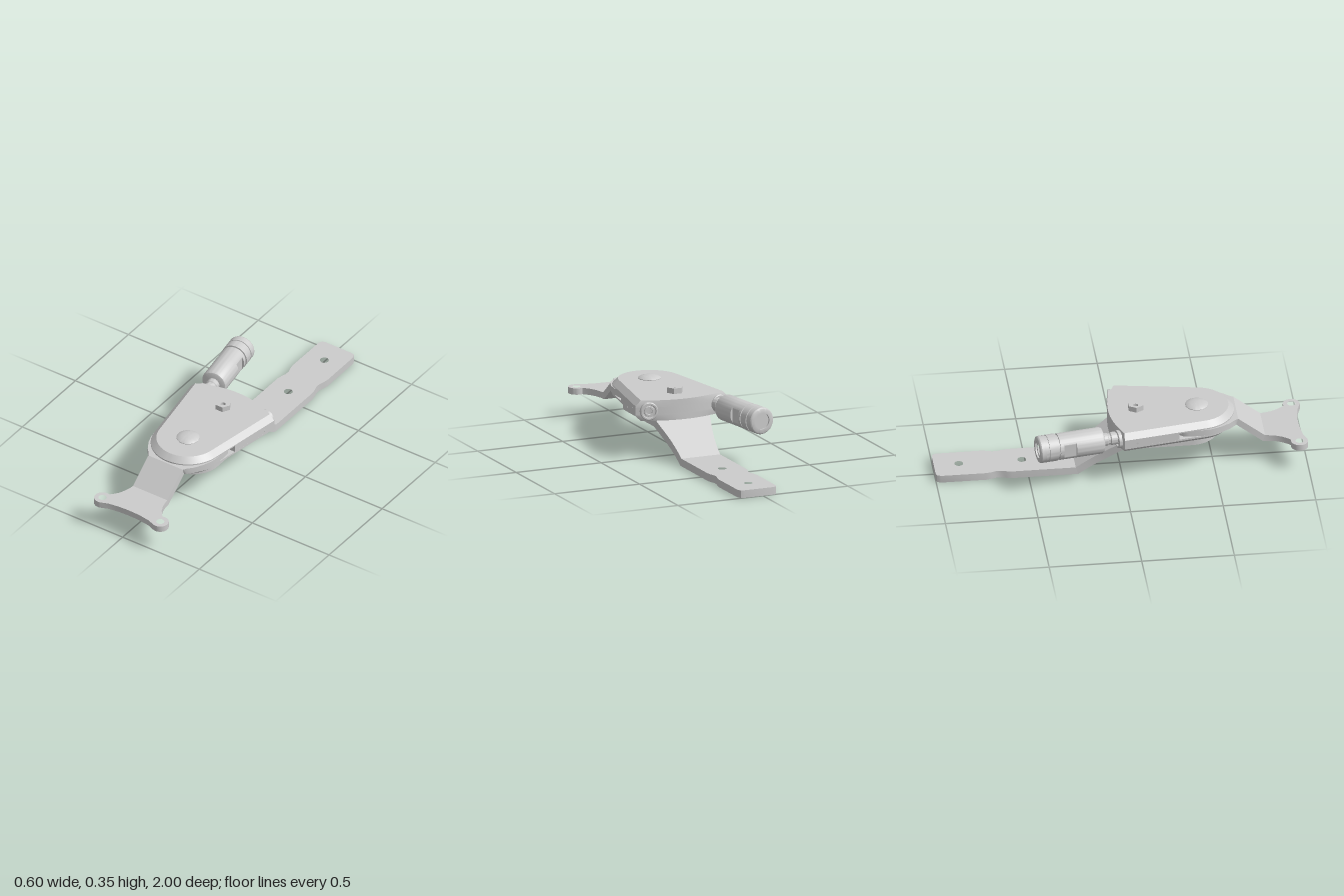
import * as THREE from 'three';
import { toCreasedNormals } from 'three/addons/utils/BufferGeometryUtils.js';

const material = new THREE.MeshStandardMaterial({ color: 0xcccccc });
const PIVOT_Z = 0.42;
const MID_Y = 0.263;

function mesh(name, geometry, parent) {
  const m = new THREE.Mesh(toCreasedNormals(geometry, 0.6), material);
  m.name = name;
  parent.add(m);
  return m;
}

// half outline [x, z] from back to front -> full symmetric ring
const mirrored = (half) => [...half, ...half.map(([x, z]) => [-x, z]).reverse()];

// points on an arc, as [x, z]
function arc(cx, cz, r, from, to, n) {
  return Array.from({ length: n + 1 }, (_, i) => {
    const a = from + ((to - from) * i) / n;
    return [cx + r * Math.cos(a), cz + r * Math.sin(a)];
  });
}

// flat plate from an [x, z] ring, holes as [x, z, radius, sides]
function plate(ring, holes, y0, y1) {
  const shape = new THREE.Shape(ring.map(([x, z]) => new THREE.Vector2(x, -z)));
  for (const [x, z, r, n = 24] of holes) {
    const pts = arc(x, z, r, 0, Math.PI * 2, n).slice(0, n);
    shape.holes.push(new THREE.Path(pts.map(([px, pz]) => new THREE.Vector2(px, -pz))));
  }
  const g = new THREE.ExtrudeGeometry(shape, { depth: y1 - y0, bevelEnabled: false });
  return g.rotateX(-Math.PI / 2).translate(0, y0, 0);
}

// strap with two opposite bends: height ya before za, yb after zb, mitred corners
function strap(name, pieces, thickness, za, ya, zb, yb, parent) {
  const group = new THREE.Group();
  group.name = name;
  parent.add(group);
  const miter = -Math.tan(Math.atan((yb - ya) / (zb - za)) / 2);
  for (const [part, half, holes] of pieces) {
    const g = plate(mirrored(half), holes, -thickness / 2, thickness / 2);
    const p = g.attributes.position;
    for (let i = 0; i < p.count; i++) {
      const h = p.getY(i), z = p.getZ(i);
      const t = THREE.MathUtils.clamp((z - za) / (zb - za), 0, 1);
      if (z > za - 1e-4 && z < zb + 1e-4) p.setZ(i, z + miter * h);
      p.setY(i, ya + (yb - ya) * t + h);
    }
    mesh(part, g, group);
  }
}

// convex solid through horizontal rings, levels as [y, ring]
function loft(levels) {
  const v = [];
  const put = (y, [x, z]) => v.push(x, y, z);
  const n = levels[0][1].length;
  for (let k = 0; k + 1 < levels.length; k++) {
    const [y0, a] = levels[k], [y1, b] = levels[k + 1];
    for (let i = 0; i < n; i++) {
      const j = (i + 1) % n;
      put(y0, a[i]); put(y1, b[i]); put(y1, b[j]);
      put(y0, a[i]); put(y1, b[j]); put(y0, a[j]);
    }
  }
  const [yb, bottom] = levels[0], [yt, top] = levels[levels.length - 1];
  for (let i = 1; i + 1 < n; i++) {
    put(yb, bottom[0]); put(yb, bottom[i]); put(yb, bottom[i + 1]);
    put(yt, top[0]); put(yt, top[i + 1]); put(yt, top[i]);
  }
  const g = new THREE.BufferGeometry();
  g.setAttribute('position', new THREE.Float32BufferAttribute(v, 3));
  return g;
}

const lathe = (pts, n = 40) =>
  new THREE.LatheGeometry(pts.map(([r, y]) => new THREE.Vector2(r, y)), n);

// curved back edge of the housing, then tapered sides
const backEdge = (w) => [0.12, 0.3, 0.5, 0.7, 0.85, 1].map((f) => [w * f, -0.06 + 0.06 * f * f]);
const housingRing = (inset) => mirrored([
  ...backEdge(0.272 - inset),
  ...arc(0, PIVOT_Z, 0.2 - inset, 0.165, Math.PI / 2 - 0.05, 14),
]);

export function createModel() {
  const root = new THREE.Group();
  const body = new THREE.Group();
  body.name = 'hingeAssembly';
  body.position.x = 0.025;
  root.add(body);

  // long lower strap
  strap('lowerStrap', [
    ['lowerStrapTail', [
      [0.085, -1], [0.103, -0.995], [0.113, -0.975], [0.114, -0.73], [0.108, -0.7], [0.1, -0.675],
      [0.1, -0.645], [0.108, -0.62], [0.114, -0.59], [0.114, -0.24],
    ], [[0, -0.865, 0.024], [0, -0.525, 0.024]]],
    ['lowerStrapSlope', [
      [0.114, -0.24], [0.117, -0.19], [0.124, -0.14], [0.135, -0.09], [0.148, -0.045], [0.16, 0],
    ], []],
    ['lowerStrapHead', [
      [0.16, 0], ...arc(0, 0.375, 0.16, 0, Math.PI / 2 - 0.05, 14),
    ], [[0, 0.175, 0.07]]],
  ], 0.042, -0.24, 0.021, 0, 0.186, body);

  // short upper strap with two mounting ears
  const earX = 0.188, earZ = 0.953;
  strap('upperStrap', [
    ['upperStrapHead', [
      [0.12, 0.25], [0.185, 0.31], [0.2, 0.33], [0.204, 0.36], [0.204, 0.43], [0.198, 0.48],
      [0.18, 0.53], [0.152, 0.58], [0.125, 0.61], [0.112, 0.625],
    ], []],
    ['upperStrapSlope', [[0.112, 0.625], [0.112, 0.77]], []],
    ['upperStrapFoot', [
      [0.112, 0.77], [0.115, 0.8], [0.124, 0.835], [0.14, 0.87], [0.162, 0.898],
      ...arc(earX, earZ, 0.046, -1.9, 1.9, 18),
      [0.13, 0.98], [0.07, 0.971], [0.02, 0.968],
    ], [[earX, earZ, 0.022], [-earX, earZ, 0.022]]],
  ], 0.035, 0.625, 0.265, 0.77, 0.15, body);

  // housing: two chamfered covers around a spacer that is open at the front
  const outer = housingRing(0), inner = housingRing(0.03);
  const spacer = mirrored([...backEdge(0.272), [0.222, 0.3]]);
  mesh('housingBottom', loft([[0.207, inner], [0.235, outer], [0.245, outer]]), body);
  mesh('housingSpacer', loft([[0.245, spacer], [0.283, spacer]]), body);
  mesh('housingTop', loft([[0.283, outer], [0.29, outer], [0.32, inner]]), body);

  // pivot rivet, domed above and flat below
  mesh('pivotRivet', lathe([
    [0, 0.153], [0.04, 0.153], [0.047, 0.158], [0.047, 0.19], [0.062, 0.318], [0.062, 0.323],
    [0.052, 0.33], [0.035, 0.335], [0.018, 0.338], [0, 0.339],
  ]), body).position.z = PIVOT_Z;

  // stop bolt with hex nut
  const bolt = new THREE.Group();
  bolt.name = 'stopBolt';
  bolt.position.z = 0.09;
  body.add(bolt);
  mesh('boltHead', lathe([
    [0, 0.153], [0.045, 0.153], [0.05, 0.158], [0.05, 0.175], [0.022, 0.18], [0.022, 0.3],
    [0.022, 0.34], [0.014, 0.34], [0.014, 0.325], [0, 0.325],
  ]), bolt);
  mesh('boltNut', plate(arc(0, 0, 0.045, 0, Math.PI * 2, 6).slice(0, 6), [[0, 0, 0.026]], 0.318, 0.35), bolt);

  // threaded sockets in both rear corners and a small pin hole plug in each side
  for (const side of [-1, 1]) {
    const socket = mesh(side > 0 ? 'leftSocket' : 'rightSocket', lathe([
      [0.049, -0.04], [0.049, 0.01], [0.045, 0.013], [0.038, 0.013], [0.035, 0.003],
      [0.028, 0.003], [0.026, 0.01], [0.018, 0.01], [0.016, 0.001], [0, 0.001],
    ]), body);
    socket.position.set(side * 0.205, MID_Y, -0.025);
    socket.rotation.set(-Math.PI / 2, -side * 0.2, 0, 'YXZ');
    const pin = mesh(side > 0 ? 'leftPin' : 'rightPin', new THREE.CylinderGeometry(0.006, 0.006, 0.01, 12), body);
    pin.position.set(side * 0.257, MID_Y, 0.07);
    pin.rotation.z = Math.PI / 2;
  }

  // adjuster screwed into the right rear corner
  const adjuster = new THREE.Group();
  adjuster.name = 'adjuster';
  adjuster.position.set(-0.188, MID_Y, -0.02);
  adjuster.rotation.set(-Math.PI / 2, 0.16, 0, 'YXZ');
  body.add(adjuster);
  mesh('adjusterRod', lathe([[0.035, -0.02], [0.035, 0.05], [0.03, 0.055], [0.03, 0.065], [0.035, 0.07], [0.035, 0.11]]), adjuster);
  const sleeve = lathe([
    [0, 0.095], [0.058, 0.095], [0.067, 0.099], [0.072, 0.108], [0.072, 0.2549], [0.072, 0.255],
    [0.072, 0.325], [0.072, 0.3251], [0.072, 0.345], [0.066, 0.346], [0.066, 0.355], [0.074, 0.356],
    [0.074, 0.405], [0.07, 0.406], [0.07, 0.412], [0.074, 0.413], [0.074, 0.425], [0, 0.425],
  ], 64);
  // wrench flats
  const p = sleeve.attributes.position;
  for (let i = 0; i < p.count; i++) {
    if (p.getY(i) > 0.25495 && p.getY(i) < 0.32505) p.setX(i, THREE.MathUtils.clamp(p.getX(i), -0.059, 0.059));
  }
  mesh('adjusterSleeve', sleeve, adjuster);
  mesh('adjusterCap', plate(arc(0, 0, 0.074, 0, Math.PI * 2, 40).slice(0, 40), [[0, 0, 0.034, 6]], 0.425, 0.448), adjuster);
  mesh('adjusterCapRim', lathe([[0.074, 0.448], [0.071, 0.454], [0.066, 0.457], [0.045, 0.457], [0.045, 0.447]]), adjuster);

  return root;
}
